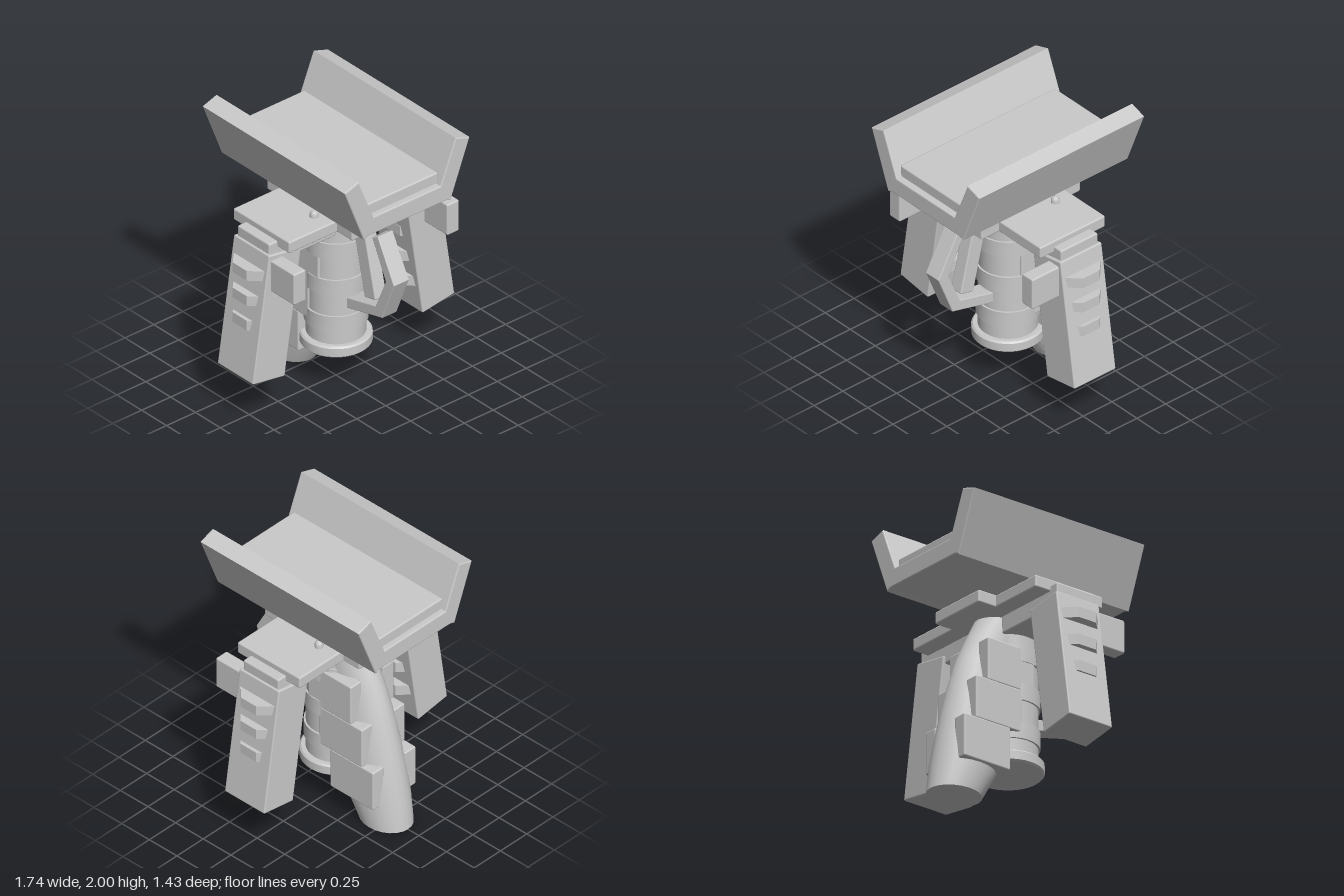
import * as THREE from 'three';
import { toCreasedNormals } from 'three/addons/utils/BufferGeometryUtils.js';
import { RoundedBoxGeometry } from 'three/addons/geometries/RoundedBoxGeometry.js';

export function createModel() {
  const model = new THREE.Group();
  const grey = new THREE.MeshStandardMaterial({ color: 0xcacaca });
  grey.name = 'plain grey';

  const add = (name, geometry, x = 0, y = 0, z = 0) => {
    const mesh = new THREE.Mesh(geometry, grey);
    mesh.name = name;
    mesh.position.set(x, y, z);
    model.add(mesh);
    return mesh;
  };
  // softly bevelled box given by its limits
  const box = (name, x0, x1, y0, y1, z0, z1, r = 0.012) =>
    add(name, new RoundedBoxGeometry(x1 - x0, y1 - y0, z1 - z0, 2, r),
      (x0 + x1) / 2, (y0 + y1) / 2, (z0 + z1) / 2);
  const cylinder = (name, r, y0, y1, sides = 32) =>
    add(name, toCreasedNormals(new THREE.CylinderGeometry(r, r, y1 - y0, sides), 0.6), 0, (y0 + y1) / 2, 0);
  // bevelled extrusion centred on its depth
  const extrude = (points, depth, bevel) => {
    const shape = new THREE.Shape(points.map(p => new THREE.Vector2(...p)));
    const geometry = new THREE.ExtrudeGeometry(shape, {
      depth: depth - 2 * bevel, bevelEnabled: true, bevelThickness: bevel,
      bevelSize: bevel, bevelOffset: -bevel, bevelSegments: 2,
    });
    return geometry.translate(0, 0, bevel - depth / 2);
  };

  // floating trough and its pad
  add('cradle', extrude([
    [-0.375, 1.537], [-0.335, 1.552], [0.335, 1.552], [0.375, 1.537],
    [0.54, 1.96], [0.42, 2.0], [0.29, 1.68], [-0.29, 1.68], [-0.42, 2.0], [-0.54, 1.96],
  ], 1.435, 0.008));
  box('cradlePad', -0.307, 0.307, 1.6, 1.76, -0.675, 0.67);

  // cross-shaped deck
  box('deckCentre', -0.23, 0.23, 1.33, 1.42, -0.43, 0.43);
  for (const s of [-1, 1]) {
    const sides = (a, b) => (s > 0 ? [a, b] : [-b, -a]);
    box('deckWing', ...sides(0.21, 0.645), 1.331, 1.419, -0.285, 0.28);
    box('arm', ...sides(0.13, 0.715), 1.21, 1.375, -0.16, 0.16);

    // splayed leg with its octagonal fins
    const leg = add('leg', new RoundedBoxGeometry(0.28, 0.95, 0.36, 2, 0.01), s * 0.6625, 0.81, 0);
    leg.rotation.z = s * 0.15;
    for (const y of [1.14, 0.945, 0.755, 0.565]) {
      const fin = new THREE.CylinderGeometry(0.185, 0.185, 0.075, 8).rotateY(Math.PI / 8);
      add('legFin', toCreasedNormals(fin, 0.3), s * 0.662, y, 0);
    }
    box('legFrontBlock', ...sides(0.61, 0.715), 1.02, 1.258, 0.15, 0.41);

    // stepped plates beside the grip
    for (let i = 0; i < 3; i++) {
      const z = -0.53 + i * 0.1, y = 0.2 + i * 0.303;
      box('gripPlate', ...sides(0.1, 0.205), y, y + 0.31, z, z + 0.39);
    }
  }

  // bolts on the deck
  const boltProfile = [[0.029, 0], [0.029, 0.022], [0.022, 0.038], [0.012, 0.044], [0, 0.045]];
  const bolt = new THREE.LatheGeometry(boltProfile.map(p => new THREE.Vector2(...p)), 14);
  const spots = [[0.31, -0.14], [0.1, 0.22], [0.115, -0.06], [0.035, 0.135], [0.03, -0.13], [0.09, 0.05]];
  for (const [x, z] of spots) {
    add('bolt', bolt, x, 1.419, z);
    add('bolt', bolt, -x, 1.419, -z);
  }

  // central column with bands and base ring
  cylinder('column', 0.2, 0.3, 1.335);
  for (const y of [0.46, 0.74, 1.02]) cylinder('columnBand', 0.213, y, y + 0.12);
  const ringProfile = [[0, 0.278], [0.23, 0.278], [0.242, 0.29], [0.242, 0.35], [0.23, 0.362], [0, 0.362]];
  add('baseRing', toCreasedNormals(
    new THREE.LatheGeometry(ringProfile.map(p => new THREE.Vector2(...p)), 32), 0.6));

  // swept grip lofted from oval sections: y, back z, front z, half width
  const sections = [
    [0, -0.652, -0.255, 0.162], [0.2, -0.625, -0.14, 0.185], [0.4, -0.585, -0.06, 0.187],
    [0.6, -0.54, 0, 0.182], [0.8, -0.485, 0.06, 0.172], [1.0, -0.42, 0.12, 0.155],
    [1.18, -0.335, 0.19, 0.15], [1.335, -0.255, 0.255, 0.165],
  ];
  const n = 24, positions = [], index = [];
  for (const [y, back, front, rx] of sections) {
    for (let j = 0; j < n; j++) {
      const a = (j / n) * Math.PI * 2;
      positions.push(rx * Math.cos(a), y, (back + front) / 2 + ((front - back) / 2) * Math.sin(a));
    }
  }
  const last = (sections.length - 1) * n;
  for (let j = 0; j < n; j++) {
    const k = (j + 1) % n;
    for (let i = 0; i < last; i += n) {
      index.push(i + j, i + n + j, i + k, i + k, i + n + j, i + n + k);
    }
    if (j > 0 && j < n - 1) index.push(0, j, k, last, last + k, last + j);
  }
  const grip = new THREE.BufferGeometry();
  grip.setAttribute('position', new THREE.Float32BufferAttribute(positions, 3));
  grip.setIndex(index);
  add('grip', toCreasedNormals(grip, 0.7));

  // bent guard and the slanted trigger behind it
  add('triggerGuard', extrude([
    [0.495, 1.33], [0.436, 1.298], [0.574, 1.02], [0.473, 0.785],
    [0.15, 0.705], [0.15, 0.625], [0.537, 0.72], [0.66, 1.025],
  ], 0.13, 0.006).rotateY(-Math.PI / 2));
  const trigger = add('trigger', new RoundedBoxGeometry(0.1, 0.56, 0.115, 2, 0.01), 0, 1.07, 0.335);
  trigger.rotation.x = -0.23;

  return model;
}
